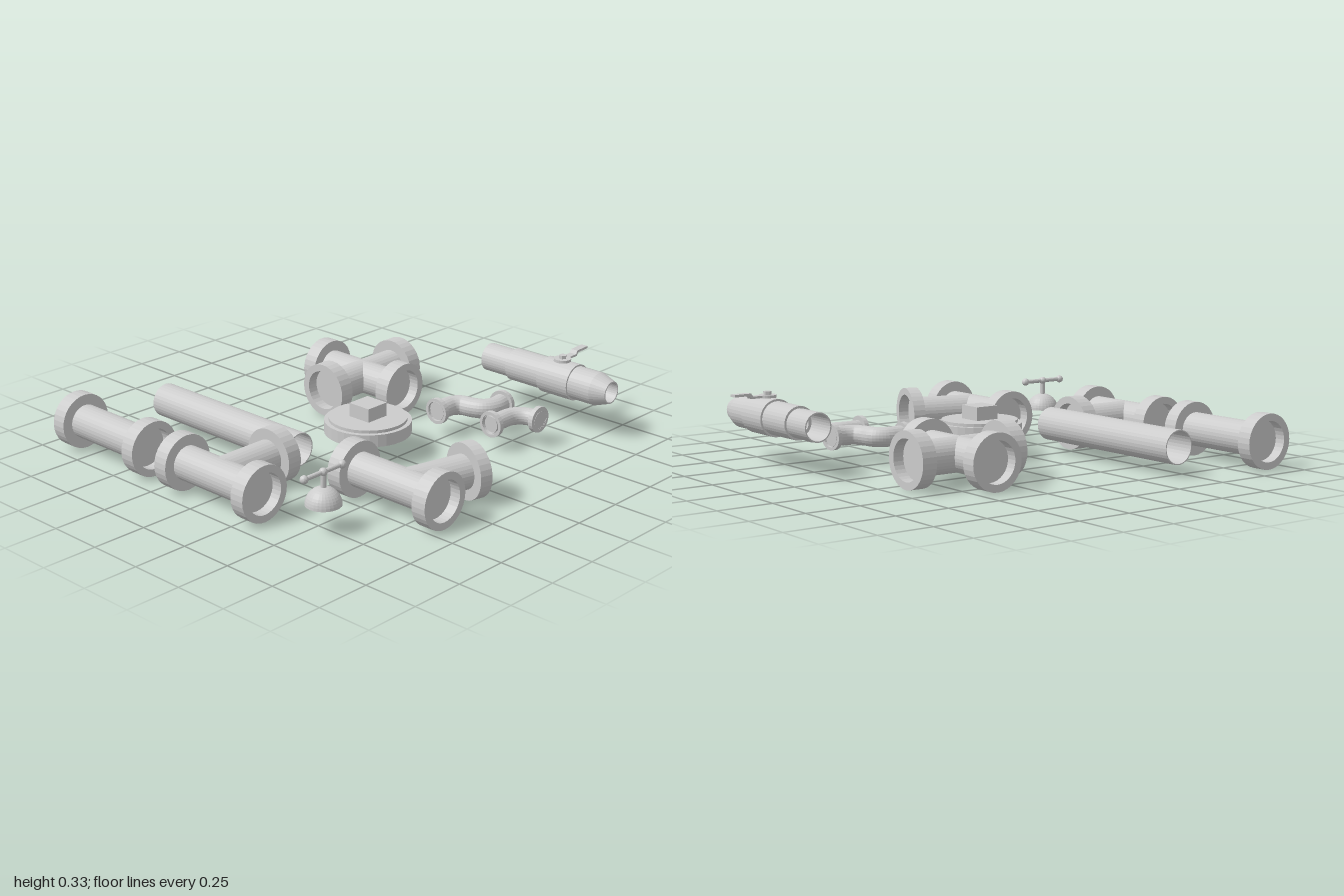
import * as THREE from 'three';

const V = (x, y, z) => new THREE.Vector3(x, y, z);
const UP = V(0, 1, 0);
const material = new THREE.MeshStandardMaterial({ color: 0xcccccc, flatShading: true });
const thinMaterial = new THREE.MeshStandardMaterial({ color: 0xcccccc, flatShading: true, side: THREE.DoubleSide });
const AXIS_Y = 0.128; // height of the pipe axes

function add(parent, name, geometry, position = V(0, 0, 0), mat = material) {
  const mesh = new THREE.Mesh(geometry, mat);
  mesh.name = name;
  mesh.position.copy(position);
  parent.add(mesh);
  return mesh;
}

// Turns a mesh built along +y towards a direction
function aim(mesh, dir) {
  mesh.quaternion.setFromUnitVectors(UP, dir.clone().normalize());
  return mesh;
}

function group(parent, name, position) {
  const g = new THREE.Group();
  g.name = name;
  g.position.copy(position);
  parent.add(g);
  return g;
}

const lathe = (pts, n = 32) => new THREE.LatheGeometry(pts.map(p => new THREE.Vector2(...p)), n);

// One arm of a large fitting: pipe, wide collar and recessed socket
function arm(parent, dir, length, collar = 0.07) {
  const r = 0.077, R = 0.125, bore = 0.092;
  const floor = length - 0.05;
  aim(add(parent, 'socketArm', lathe([
    [r, 0], [r, length - collar], [R, length - collar], [R, length],
    [bore, length], [bore, floor], [0, floor],
  ])), dir);
}

// Small curved fitting with a flange on each end
function bend(parent, name, curve, radius, depths) {
  const g = group(parent, name, V(0, AXIS_Y, 0));
  add(g, 'curvedPipe', new THREE.TubeGeometry(curve, 40, radius, 20), V(0, 0, 0), thinMaterial);
  [0, 1].forEach(t => {
    const out = curve.getTangent(t).multiplyScalar(t ? 1 : -1);
    const d = depths[t], w = 0.022;
    const flange = lathe([[0, -w], [0.06, -w], [0.06, 0], [0.046, 0], [0.046, -d], [0, -d]], 24);
    aim(add(g, 'flange', flange, curve.getPoint(t)), out);
  });
}

export function createModel() {
  const root = new THREE.Group();
  root.name = 'pipeFittings';
  const X = V(1, 0, 0), Z = V(0, 0, 1);
  const NX = V(-1, 0, 0), NZ = V(0, 0, -1);

  // Large socket fittings
  const coupling = group(root, 'straightCoupling', V(-0.875, AXIS_Y, -0.635));
  [Z, NZ].forEach(d => arm(coupling, d, 0.27));

  const tee = group(root, 'teeFitting', V(-0.875, AXIS_Y, 0.05));
  [Z, NZ].forEach(d => arm(tee, d, 0.27));
  arm(tee, X, 0.35);

  const wye = group(root, 'angledTeeFitting', V(-0.425, AXIS_Y, 0.625));
  [Z, NZ].forEach(d => arm(wye, d, 0.27));
  const branch = group(wye, 'angledBranch', V(0, 0, 0.058));
  arm(branch, V(1, 0, 0.25), 0.347, 0.058);

  const cross = group(root, 'crossFitting', V(0.4, AXIS_Y, -0.34));
  [X, NX, Z, NZ].forEach(d => arm(cross, d, 0.27));

  // Plain open pipe
  aim(add(root, 'plainPipe', lathe([
    [0.072, -0.437], [0.077, -0.437], [0.077, 0.437], [0.072, 0.437], [0.072, -0.437],
  ]), V(-0.452, AXIS_Y, -0.342)), Z);

  // Plug cap with square boss
  const cap = group(root, 'plugCap', V(-0.06, 0, 0.127));
  add(cap, 'capDisc', lathe([
    [0, 0.112], [0.195, 0.112], [0.195, 0.168], [0.175, 0.168], [0.175, 0.182], [0, 0.182],
  ]));
  add(cap, 'squareBoss', new THREE.BoxGeometry(0.116, 0.065, 0.116), V(0, 0.212, 0));

  // Small S-shaped bend
  bend(root, 'doubleBend', new THREE.CatmullRomCurve3([
    V(0.29, 0, 0.22), V(0.34, 0, 0.22), V(0.395, 0, 0.223), V(0.43, 0, 0.25), V(0.443, 0, 0.308),
    V(0.468, 0, 0.357), V(0.52, 0, 0.376), V(0.593, 0, 0.366),
  ]), 0.045, [0.012, 0.012]);

  // Small right-angle elbow
  const elbow = new THREE.CurvePath();
  elbow.add(new THREE.LineCurve3(V(0.335, 0, 0.5), V(0.445, 0, 0.5)));
  elbow.add(new THREE.CubicBezierCurve3(V(0.445, 0, 0.5), V(0.495, 0, 0.5), V(0.535, 0, 0.54), V(0.535, 0, 0.59)));
  elbow.add(new THREE.LineCurve3(V(0.535, 0, 0.59), V(0.535, 0, 0.625)));
  const elbowCurve = new THREE.CatmullRomCurve3(elbow.getSpacedPoints(16));
  bend(root, 'elbow', elbowCurve, 0.04, [0.012, 0.001]);

  // Ball valve with stepped body, through bore and lever
  const valve = group(root, 'ballValve', V(0.82, 0.225, 0));
  aim(add(valve, 'valveBody', lathe([
    [0.06, 0.097], [0.066, 0.097], [0.066, 0.25], [0.076, 0.25], [0.076, 0.44], [0.085, 0.44],
    [0.085, 0.61], [0.077, 0.61], [0.077, 0.73], [0.052, 0.802], [0.046, 0.802],
    [0.046, 0.25], [0.06, 0.25], [0.06, 0.097],
  ])), Z);
  const handle = group(valve, 'valveHandle', V(0, 0, 0.522));
  add(handle, 'stem', new THREE.CylinderGeometry(0.02, 0.02, 0.04, 16), V(0, 0.075, 0));
  add(handle, 'hub', new THREE.CylinderGeometry(0.04, 0.04, 0.013, 24), V(0, 0.09, 0));
  add(handle, 'hubNut', new THREE.CylinderGeometry(0.018, 0.018, 0.02, 6), V(0, 0.102, 0));
  // Lever drawn as a side profile with a step, then extruded to its width
  const profile = new THREE.Shape([
    [0, 0.086], [0.092, 0.086], [0.102, 0.1], [0.18, 0.1],
    [0.18, 0.111], [0.095, 0.111], [0.086, 0.096], [0, 0.096],
  ].map(p => new THREE.Vector2(...p)));
  const leverGeometry = new THREE.ExtrudeGeometry(profile, { depth: 0.034, bevelEnabled: false });
  leverGeometry.translate(0, 0, -0.017);
  add(handle, 'lever', leverGeometry).rotation.y = 0.06;

  // Domed tap top with a cross bar
  const tap = group(root, 'tapTop', V(-0.767, 0, 0.547));
  add(tap, 'dome', new THREE.SphereGeometry(0.077, 28, 10, 0, Math.PI * 2, 0, Math.PI / 2), V(0, 0.119, 0), thinMaterial);
  add(tap, 'stem', new THREE.CylinderGeometry(0.012, 0.012, 0.075, 14), V(0, 0.225, 0));
  aim(add(tap, 'crossBar', new THREE.CylinderGeometry(0.01, 0.01, 0.21, 14), V(0, 0.261, 0)), X);
  [-0.108, 0, 0.108].forEach(x =>
    add(tap, 'barKnob', new THREE.SphereGeometry(0.018, 16, 12), V(x, 0.261, 0)));

  return root;
}
